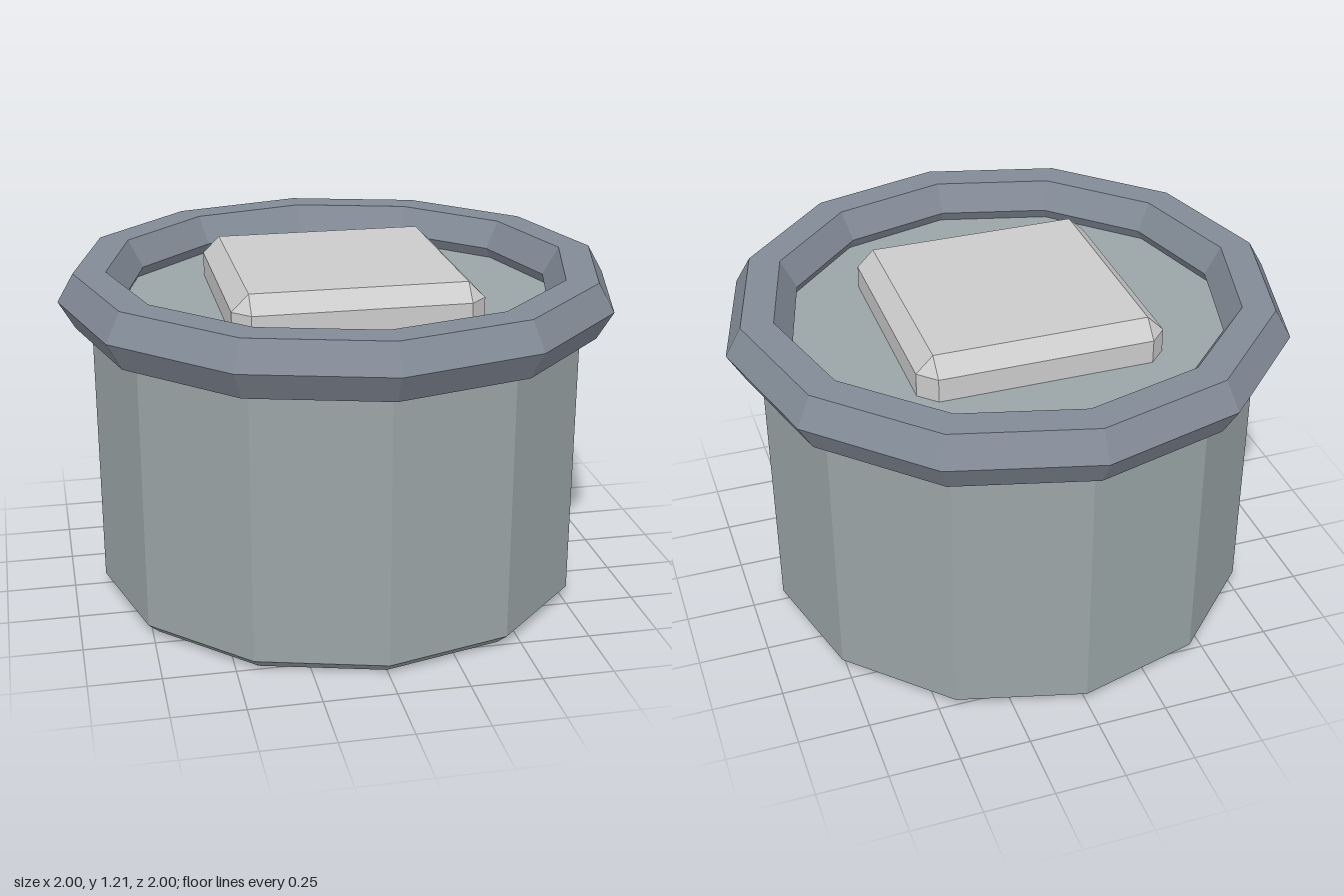
import * as THREE from 'three';
import { ConvexGeometry } from 'three/addons/geometries/ConvexGeometry.js';

const SIDES = 12;

function part(name, geometry, color) {
  const material = new THREE.MeshStandardMaterial({ color, flatShading: true });
  const mesh = new THREE.Mesh(geometry, material);
  mesh.name = name;
  return mesh;
}

// Box with every edge chamfered by c; sizes are half extents
function chamferedBox(hx, hy, hz, c) {
  const points = [];
  for (const x of [-1, 1]) for (const y of [-1, 1]) for (const z of [-1, 1]) {
    points.push(
      new THREE.Vector3(x * hx, y * (hy - c), z * (hz - c)),
      new THREE.Vector3(x * (hx - c), y * hy, z * (hz - c)),
      new THREE.Vector3(x * (hx - c), y * (hy - c), z * hz)
    );
  }
  return new ConvexGeometry(points);
}

export function createModel() {
  const model = new THREE.Group();
  model.name = 'lidded drum';

  // Twelve-sided drum, closed, with chamfered bottom and top edges
  const profile = [[0, 0], [0.84, 0], [0.885, 0.04], [0.885, 1.025], [0.84, 1.065], [0, 1.065]]
    .map(([r, y]) => new THREE.Vector2(r, y));
  model.add(part('body', new THREE.LatheGeometry(profile, SIDES), 0x9aa4a6));

  // Hexagonal-section ring around the top
  const ring = new THREE.TorusGeometry(0.885, 0.115, 6, SIDES);
  ring.rotateX(-Math.PI / 2);
  const rim = part('rim', ring, 0x828a96);
  rim.position.y = 1.105;
  model.add(rim);

  // Square block set into the top
  const block = part('topBlock', chamferedBox(0.44, 0.11, 0.44, 0.06), 0xcccccc);
  block.position.y = 1.1;
  model.add(block);

  return model;
}
